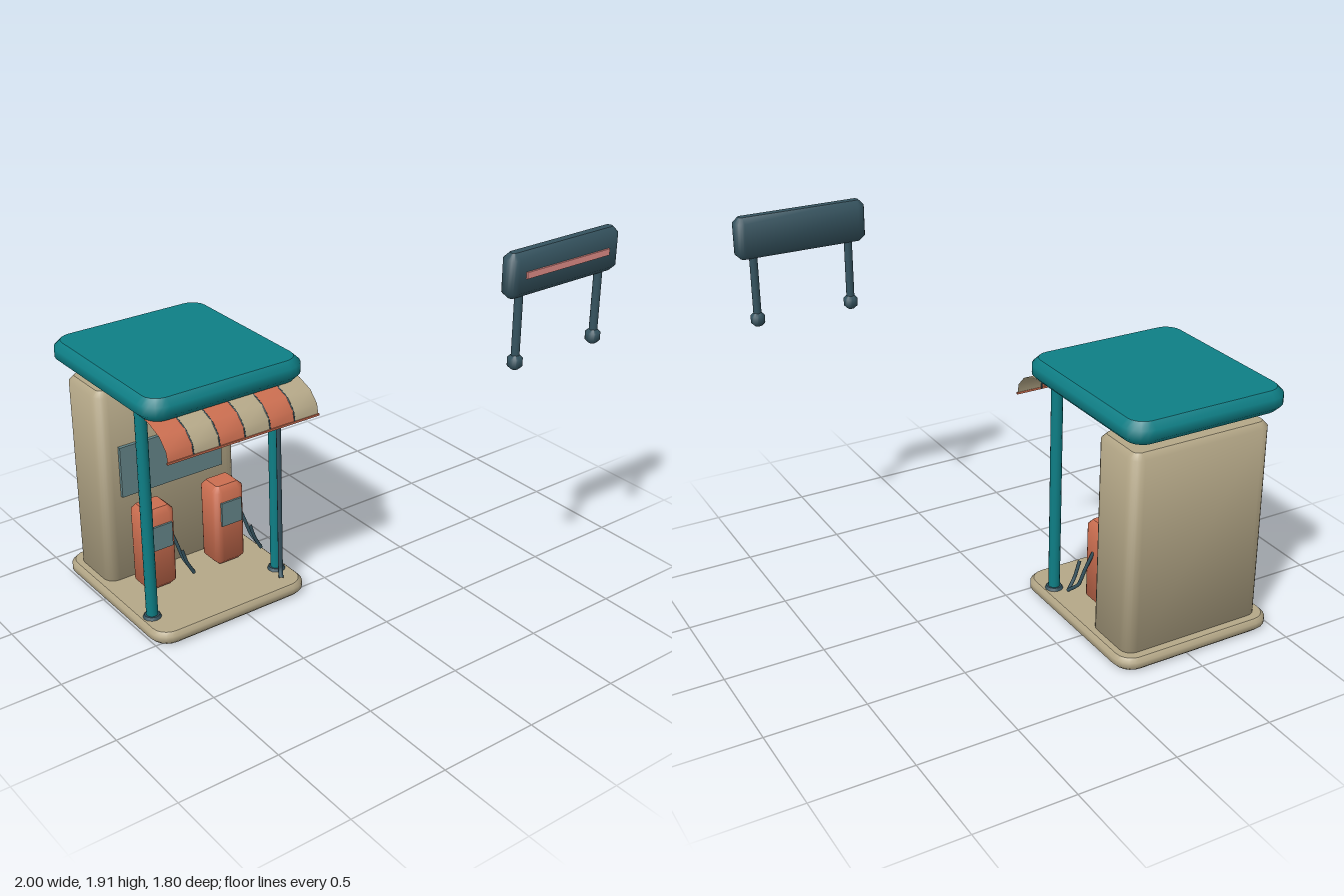
import * as THREE from 'three';
import { toCreasedNormals, mergeGeometries } from 'three/addons/utils/BufferGeometryUtils.js';

const material = (name, color, extra = {}) => {
  const m = new THREE.MeshStandardMaterial({ color, ...extra });
  m.name = name;
  return m;
};

// Rounded rectangle in plan, stacked in rings with bevelled top and bottom edges
function slabGeometry(w, h, d, r, b) {
  const steps = 5;
  const ring = (inset, y) => {
    const pts = [], rr = Math.max(r - inset, 0.004);
    for (let q = 0; q < 4; q++) {
      const sx = q === 0 || q === 3 ? 1 : -1, sz = q < 2 ? 1 : -1;
      for (let i = 0; i <= steps; i++) {
        const a = (q + i / steps) * Math.PI / 2;
        pts.push([sx * (w / 2 - inset - rr) + rr * Math.cos(a), y, sz * (d / 2 - inset - rr) + rr * Math.sin(a)]);
      }
    }
    return pts;
  };
  const rings = [ring(b, 0), ring(0, b), ring(0, h - b), ring(b, h)];
  const n = rings[0].length, side = [], caps = [];
  for (let k = 0; k < 3; k++) {
    for (let i = 0; i < n; i++) {
      const j = (i + 1) % n, lo = rings[k], hi = rings[k + 1];
      side.push(...lo[i], ...hi[i], ...lo[j], ...lo[j], ...hi[i], ...hi[j]);
    }
  }
  for (let i = 0; i < n; i++) {
    const j = (i + 1) % n;
    caps.push(0, h, 0, ...rings[3][j], ...rings[3][i], 0, 0, 0, ...rings[0][i], ...rings[0][j]);
  }
  const make = (a) => new THREE.BufferGeometry().setAttribute('position', new THREE.Float32BufferAttribute(a, 3));
  const sideGeo = toCreasedNormals(make(side), 1);
  const capGeo = make(caps);
  capGeo.computeVertexNormals();
  return mergeGeometries([sideGeo, capGeo]);
}

export function createModel() {
  const model = new THREE.Group();
  model.name = 'fuelStation';

  const teal = material('teal', 0x0e7f86);
  const beige = material('beige', 0xb5a888);
  const orange = material('orange', 0xcb6e50);
  const slate = material('slate', 0x35535f);
  const glass = material('glass', 0x66888b);
  const pink = material('pink', 0xe58f8a);
  const beigeCloth = material('beige cloth', 0xb5a888, { side: THREE.DoubleSide });
  const orangeCloth = material('orange cloth', 0xcb6e50, { side: THREE.DoubleSide });

  const add = (name, geo, mat, x = 0, y = 0, z = 0, parent = model) => {
    const mesh = new THREE.Mesh(geo, mat);
    mesh.name = name;
    mesh.position.set(x, y, z);
    parent.add(mesh);
    return mesh;
  };
  const group = (name, x = 0, y = 0, z = 0) => {
    const g = new THREE.Group();
    g.name = name;
    g.position.set(x, y, z);
    model.add(g);
    return g;
  };
  const box = (w, h, d) => new THREE.BoxGeometry(w, h, d);
  const vectors = (pts) => pts.map((p) => new THREE.Vector3(...p));
  const tube = (pts, r, tension = 0.25) => new THREE.TubeGeometry(
    new THREE.CatmullRomCurve3(vectors(pts), false, 'catmullrom', tension), 32, r, 8);

  const cx = -0.565;

  // Base, building and roof
  add('base', slabGeometry(0.87, 0.065, 0.94, 0.1, 0.018), beige, cx, 0, -0.42);
  add('building', slabGeometry(0.77, 1.07, 0.315, 0.06, 0.027), beige, cx, 0.03, -0.675);
  add('buildingWindow', box(0.577, 0.27, 0.02), glass, cx, 0.665, -0.51);
  add('canopy', slabGeometry(0.87, 0.112, 0.96, 0.11, 0.032), teal, cx, 1.17, -0.42);
  add('ceilingPanel', box(0.73, 0.008, 0.75), teal, cx, 1.168, -0.455);

  // Canopy posts, feet and ceiling lamps
  for (const s of [-1, 1]) {
    const x = cx + s * 0.365;
    add('canopyPost', new THREE.CylinderGeometry(0.029, 0.029, 1.17, 12), teal, x, 0.595, -0.142);
    add('canopyPostFoot', new THREE.CylinderGeometry(0.038, 0.046, 0.015, 12), slate, x, 0.072, -0.142);
    add('ceilingLamp', new THREE.CylinderGeometry(0.04, 0.04, 0.016, 8), beige, cx + s * 0.26, 1.16, -0.21);
  }

  // Supply pipe beside the right-hand post
  add('supplyPipe', tube([
    [-0.217, 1.175, -0.08], [-0.217, 0.6, -0.08], [-0.217, 0.13, -0.08],
    [-0.222, 0.095, -0.075], [-0.245, 0.07, -0.035],
  ], 0.012), slate);

  // Fuel pumps with screen and hose
  for (const x of [-0.765, -0.36]) {
    const pump = group('fuelPump', x, 0, -0.38);
    add('pumpBody', slabGeometry(0.175, 0.445, 0.16, 0.04, 0.027), orange, 0, 0.076, 0, pump);
    add('pumpScreen', box(0.117, 0.13, 0.014), glass, 0, 0.375, 0.083, pump);
    add('pumpHose', tube([
      [0.083, 0.37, 0], [0.115, 0.27, 0.022], [0.14, 0.18, 0.04], [0.163, 0.122, 0.1],
    ], 0.009), slate, 0, 0, 0, pump);
    add('pumpNozzle', tube([
      [0.163, 0.118, 0.1], [0.125, 0.19, 0.1], [0.098, 0.275, 0.1],
    ], 0.009), slate, 0, 0, 0, pump);
  }

  // Striped awning, swept from a curved profile
  const awning = group('awning');
  const profile = [[1.175, -0.03], [1.17, 0.01], [1.138, 0.095], [1.085, 0.146], [1.032, 0.157]];
  const stripe = 0.825 / 6;
  for (let i = 0; i < 6; i++) {
    const x0 = cx - 0.4125 + i * stripe;
    const cloth = new THREE.PlaneGeometry(stripe - 0.004, 1, 1, profile.length - 1);
    const p = cloth.attributes.position;
    for (let k = 0; k < p.count; k++) {
      const [y, z] = profile[Math.floor(k / 2)];
      p.setXYZ(k, p.getX(k), y, z);
    }
    cloth.computeVertexNormals();
    add('awningStripe', cloth, i % 2 ? beigeCloth : orangeCloth, x0 + stripe / 2, 0, 0, awning);
    if (i > 0) add('awningRib', tube(profile.map(([y, z]) => [0, y - 0.003, z - 0.002]), 0.004), slate, x0, 0, 0, awning);
  }
  add('awningTrim', box(0.827, 0.01, 0.008), orange, cx, 1.032, 0.157, awning);

  // Free-standing sign board on two short posts
  const sign = group('sign', 0.663, 0, 0.846);
  add('signBoard', slabGeometry(0.67, 0.207, 0.09, 0.044, 0.027), slate, 0, 1.708, 0, sign);
  add('signStripe', box(0.505, 0.03, 0.012), pink, 0, 1.814, 0.048, sign);
  for (const s of [-1, 1]) {
    add('signPost', new THREE.CylinderGeometry(0.02, 0.02, 0.33, 12), slate, s * 0.246, 1.56, 0, sign);
    add('signFoot', slabGeometry(0.067, 0.068, 0.067, 0.03, 0.016), slate, s * 0.246, 1.36, 0, sign);
  }

  return model;
}
